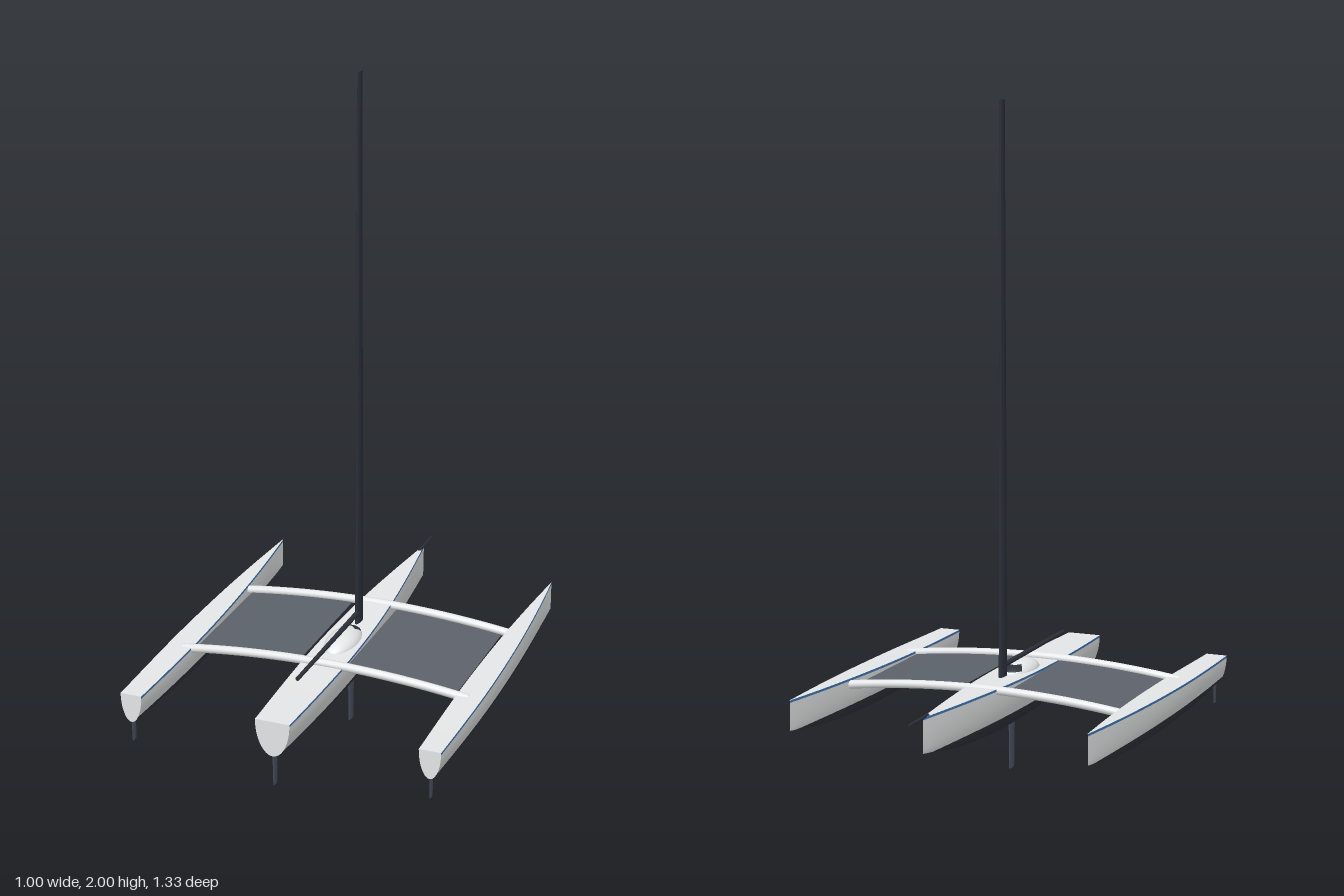
import * as THREE from 'three';

const paint = (name, color) => {
  const m = new THREE.MeshStandardMaterial({ color });
  m.name = name;
  return m;
};

export function createModel() {
  const white = paint('hullWhite', 0xe6e7e8);
  const blue = paint('stripeBlue', 0x3f78b8);
  const dark = paint('bottomDark', 0x30343c);
  const carbon = paint('carbon', 0x2c303a);
  const foil = paint('foilGrey', 0x4a5060);
  const netGrey = paint('netGrey', 0x5c626b);
  netGrey.side = THREE.DoubleSide;

  const model = new THREE.Group();
  model.name = 'trimaran';
  const add = (parent, name, geo, mat, x = 0, y = 0, z = 0) => {
    const mesh = new THREE.Mesh(geo, mat);
    mesh.name = name;
    mesh.position.set(x, y, z);
    parent.add(mesh);
    return mesh;
  };

  // Surface from fn(u, v) -> [x, y, z]
  const grid = (fn, nu, nv, flip = false) => {
    const pos = [], idx = [];
    for (let i = 0; i <= nu; i++)
      for (let j = 0; j <= nv; j++) pos.push(...fn(i / nu, j / nv));
    for (let i = 0; i < nu; i++)
      for (let j = 0; j < nv; j++) {
        const a = i * (nv + 1) + j, b = a + nv + 1;
        if (flip) idx.push(a, a + 1, b, b, a + 1, b + 1);
        else idx.push(a, b, a + 1, b, b + 1, a + 1);
      }
    const g = new THREE.BufferGeometry();
    g.setAttribute('position', new THREE.Float32BufferAttribute(pos, 3));
    g.setIndex(idx);
    g.computeVertexNormals();
    return g;
  };

  // Hull with half-elliptical sections; stations are [halfWidth, keelY, z], stern to bow
  const waterline = 0.197, stripe = 0.007;
  const hull = (name, x, stations, sternY, bowY) => {
    const g = new THREE.Group();
    g.name = name;
    g.position.x = x;
    model.add(g);
    const curve = new THREE.CatmullRomCurve3(stations.map(s => new THREE.Vector3(...s)));
    const section = t => {
      const p = curve.getPoint(t), sheer = sternY + (bowY - sternY) * t ** 1.3;
      const depth = sheer - p.y;
      return {
        wl: Math.asin(Math.min(1, (sheer - waterline) / depth)),
        edge: Math.asin(stripe / depth),
        at: (a, side = 1) => [side * p.x * Math.cos(a), sheer - depth * Math.sin(a), p.z],
      };
    };
    const N = 40;
    add(g, 'bottom', grid((t, v) => {
      const s = section(t);
      return s.at(Math.PI - s.wl + (2 * s.wl - Math.PI) * v);
    }, N, 14), dark);
    for (const side of [1, -1]) {
      add(g, 'topside', grid((t, v) => {
        const s = section(t);
        return s.at(s.wl + (s.edge - s.wl) * v, side);
      }, N, 8, side < 0), white);
      add(g, 'sheerStripe', grid((t, v) => {
        const s = section(t);
        return s.at(s.edge * (1 - v), side);
      }, N, 1, side < 0), blue);
    }
    add(g, 'deck', grid((t, v) => section(t).at(0, 2 * v - 1), N, 2, true), white);
    add(g, 'transom', grid((u, v) => section(0).at(Math.PI / 2 * (1 - u), 2 * v - 1), 12, 2, true), white);
    return g;
  };

  hull('mainHull', 0, [
    [0.053, 0.175, 0.66], [0.061, 0.158, 0.45], [0.065, 0.147, 0.25], [0.061, 0.143, 0.04],
    [0.049, 0.149, -0.16], [0.028, 0.169, -0.37], [0.002, 0.207, -0.58],
  ], 0.284, 0.31);
  for (const side of [1, -1])
    hull(side > 0 ? 'leftFloat' : 'rightFloat', side * 0.459, [
      [0.033, 0.178, 0.625], [0.037, 0.165, 0.44], [0.039, 0.157, 0.25], [0.036, 0.155, 0.06],
      [0.029, 0.16, -0.12], [0.017, 0.175, -0.31], [0.001, 0.203, -0.497],
    ], 0.266, 0.293);

  // Arched cross beams with rounded ends
  const archY = x => 0.294 - 0.033 * (x / 0.46) ** 2;
  for (const [name, z] of [['forwardBeam', -0.16], ['aftBeam', 0.285]]) {
    const pts = [];
    for (let i = -6; i <= 6; i++) pts.push(new THREE.Vector3(i * 0.075, archY(i * 0.075), z));
    add(model, name, new THREE.TubeGeometry(new THREE.CatmullRomCurve3(pts), 36, 0.013, 12), white);
    for (const side of [1, -1]) {
      const cap = add(model, name + 'End', new THREE.SphereGeometry(0.013, 12, 8), white, side * 0.45, archY(0.45), z);
      cap.scale.x = 0.8;
    }
  }

  // Trampoline nets
  for (const side of [1, -1])
    add(model, side > 0 ? 'leftNet' : 'rightNet', grid((u, v) => {
      const x = side * (0.073 + 0.34 * v);
      return [x, archY(x) - 0.002, 0.265 - 0.405 * u];
    }, 1, 8, side > 0), netGrey);

  // Cabin dome and forward window
  const dome = add(model, 'cabin', new THREE.SphereGeometry(1, 32, 12, 0, Math.PI * 2, 0, Math.PI / 2), white, 0, 0.286, 0.122);
  dome.scale.set(0.05, 0.036, 0.098);
  const pane = add(model, 'cabinWindow',
    new THREE.SphereGeometry(1.02, 16, 8, Math.PI * 1.5 - 0.8, 1.6, 0.62, 0.55), carbon, 0, 0.286, 0.122);
  pane.scale.copy(dome.scale);

  // Tapered foil sections: chord along z, thin in x
  const blade = (name, mat, x, z, y0, y1, chord0, chord1, thin) => {
    const h = y1 - y0;
    const b = add(model, name, new THREE.CylinderGeometry(chord1 / 2, chord0 / 2, h, 20), mat, x, y0 + h / 2, z);
    b.scale.x = thin;
    return b;
  };
  blade('mast', carbon, 0, -0.013, 0.298, 2, 0.053, 0.031, 0.3).rotation.x = -0.003;
  blade('daggerboard', foil, 0, 0.057, 0, 0.17, 0.036, 0.046, 0.18);
  blade('mainRudder', foil, 0, 0.643, 0.08, 0.2, 0.026, 0.034, 0.2);
  for (const side of [1, -1])
    blade(side > 0 ? 'leftRudder' : 'rightRudder', foil, side * 0.459, 0.611, 0.115, 0.2, 0.022, 0.028, 0.2);

  // Spars running fore and aft
  const spar = (name, y, z0, z1, r0, r1) => {
    const s = add(model, name, new THREE.CylinderGeometry(r1, r0, Math.abs(z1 - z0), 12), carbon, 0, y, (z0 + z1) / 2);
    s.rotation.x = z1 > z0 ? Math.PI / 2 : -Math.PI / 2;
  };
  spar('boom', 0.331, 0, 0.475, 0.008, 0.006);
  spar('bowsprit', 0.31, -0.545, -0.665, 0.005, 0.003);

  return model;
}
